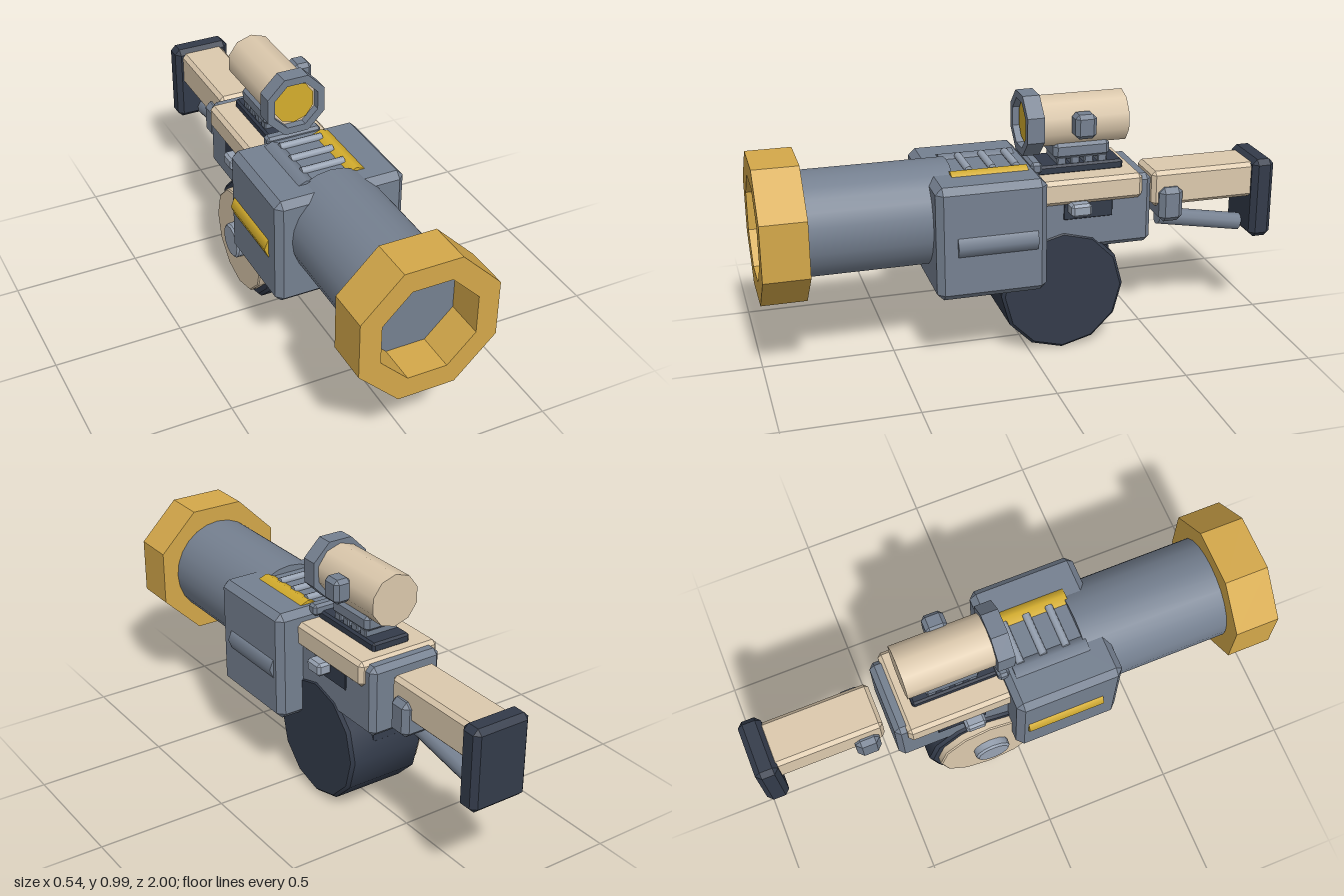
import * as THREE from 'three';
import { toCreasedNormals } from 'three/addons/utils/BufferGeometryUtils.js';
import { ConvexGeometry } from 'three/addons/geometries/ConvexGeometry.js';

const paint = (name, color) => new THREE.MeshStandardMaterial({ name, color });

export function createModel() {
  const slate = paint('slate', 0x758090);
  const dark = paint('charcoal', 0x333b4a);
  const tan = paint('tan', 0xdcc9ad);
  const brass = paint('brass', 0xd4a84a);
  const yellow = paint('yellow', 0xd4ad2d);
  const steel = paint('light steel', 0x98a3b3);

  const model = new THREE.Group();
  model.name = 'launcher';

  const add = (name, geometry, material) => {
    const mesh = new THREE.Mesh(geometry, material);
    mesh.name = name;
    model.add(mesh);
    return mesh;
  };

  // Box with chamfered edges, given by its extents on each axis
  const block = (name, material, [x0, x1], [y0, y1], [z0, z1], c = 0.015) => {
    const half = [(x1 - x0) / 2, (y1 - y0) / 2, (z1 - z0) / 2];
    const points = [];
    for (const sx of [-1, 1]) for (const sy of [-1, 1]) for (const sz of [-1, 1]) {
      for (let axis = 0; axis < 3; axis++) {
        const p = half.map((h, i) => (i === axis ? h : h - c));
        points.push(new THREE.Vector3(p[0] * sx, p[1] * sy, p[2] * sz));
      }
    }
    const mesh = add(name, new ConvexGeometry(points), material);
    mesh.position.set((x0 + x1) / 2, (y0 + y1) / 2, (z0 + z1) / 2);
    return mesh;
  };

  // Cylinder lying along z
  const rodZ = (name, material, r, x, y, z0, z1, sides) => {
    const g = new THREE.CylinderGeometry(r, r, z1 - z0, sides).rotateX(Math.PI / 2);
    const mesh = add(name, g, material);
    mesh.position.set(x, y, (z0 + z1) / 2);
    return mesh;
  };

  // Octagonal collar with flat top, along z
  const collar = (name, material, flat, holeFlat, y, z0, z1) => {
    const octagon = (f) => Array.from({ length: 8 }, (_, i) => {
      const a = (i + 0.5) * Math.PI / 4, r = f / Math.cos(Math.PI / 8);
      return new THREE.Vector2(r * Math.cos(a), r * Math.sin(a));
    });
    const shape = new THREE.Shape(octagon(flat));
    shape.holes.push(new THREE.Path(octagon(holeFlat).reverse()));
    const g = new THREE.ExtrudeGeometry(shape, { depth: z1 - z0, bevelEnabled: false });
    add(name, g, material).position.set(0, y, z0);
  };

  // Disc along x with chamfered rims
  const wheel = (name, material, r, x0, x1, y, z, c, sides) => {
    const h = (x1 - x0) / 2;
    const profile = [[0, -h], [r - c, -h], [r, -h + c], [r, h - c], [r - c, h], [0, h]]
      .map(([a, b]) => new THREE.Vector2(a, b));
    const g = new THREE.LatheGeometry(profile, sides).rotateZ(Math.PI / 2);
    add(name, toCreasedNormals(g, 0.7), material).position.set((x0 + x1) / 2, y, z);
  };

  // Barrel and muzzle
  rodZ('barrel', slate, 0.197, 0, 0.56, 0.28, 0.85, 24);
  collar('muzzle', brass, 0.26, 0.18, 0.56, 0.83, 1);

  // Front housing with bars let into its sides, top and bottom
  block('housing', slate, [-0.255, 0.255], [0.295, 0.73], [-0.04, 0.375], 0.025);
  for (const s of [-1, 1]) {
    const name = s > 0 ? 'left' : 'right';
    rodZ(name + 'SideBar', s > 0 ? slate : yellow, 0.05, s * 0.222, 0.503, 0, 0.3, 8);
    rodZ(name + 'TopBar', s > 0 ? yellow : slate, 0.05, s * 0.1, 0.693, 0, 0.29, 8);
    rodZ(name + 'BottomBar', s > 0 ? yellow : slate, 0.06, s * 0.1, 0.32, 0, 0.3, 8);
  }

  // Vent bars across the top
  for (const z of [0.035, 0.125, 0.215]) {
    const g = new THREE.CylinderGeometry(0.015, 0.015, 0.17, 8).rotateZ(Math.PI / 2);
    add('ventBar', g, steel).position.set(0, 0.735, z);
  }
  block('frontSightBase', slate, [-0.11, 0.11], [0.7, 0.745], [-0.06, -0.015], 0.01);

  // Receiver, tan cover, ports and bolt handles
  block('receiver', slate, [-0.15, 0.15], [0.4, 0.675], [-0.478, 0], 0.02);
  block('receiverCover', tan, [-0.17, 0.17], [0.59, 0.686], [-0.435, 0], 0.015);
  for (const s of [-1, 1]) {
    const span = (a, b) => (s > 0 ? [a, b] : [-b, -a]);
    block('ejectionPort', dark, span(0.147, 0.155), [0.527, 0.6], [-0.32, -0.13], 0.002);
    block('boltHandle', steel, span(0.14, 0.205), [0.55, 0.6], [-0.225, -0.145], 0.01);
  }

  // Drum magazine
  wheel('drum', dark, 0.24, -0.16, 0.155, 0.24, -0.13, 0.012, 12);
  wheel('drumCover', tan, 0.207, -0.19, -0.155, 0.24, -0.13, 0.005, 12);
  wheel('drumHub', steel, 0.07, -0.224, -0.18, 0.245, -0.13, 0.008, 12);
  block('magazineCatch', dark, [-0.06, 0.06], [0.28, 0.44], [-0.345, -0.25], 0.01).rotation.x = 0.15;

  // Scope rail and mount
  block('scopeRail', dark, [-0.08, 0.08], [0.68, 0.718], [-0.385, -0.04], 0.008);
  for (let i = 0; i < 4; i++) {
    const z = -0.305 + i * 0.053;
    block('railTooth', slate, [-0.07, 0.07], [0.71, 0.745], [z - 0.018, z + 0.018], 0.004);
  }
  block('scopeMount', slate, [-0.075, 0.075], [0.735, 0.8], [-0.335, -0.115], 0.015);

  // Scope
  rodZ('scopeTube', tan, 0.1, 0, 0.872, -0.4, -0.03, 10);
  rodZ('scopeLens', yellow, 0.083, 0, 0.872, -0.031, -0.022, 10);
  collar('scopeShroud', slate, 0.115, 0.087, 0.871, -0.065, 0);
  block('scopeKnob', slate, [0.08, 0.152], [0.832, 0.925], [-0.257, -0.175], 0.015);

  // Shoulder stock, bracket, strut and pad
  block('stock', tan, [-0.09, 0.09], [0.515, 0.655], [-0.93, -0.505], 0.015);
  block('stockBracket', slate, [-0.118, 0.118], [0.455, 0.592], [-0.625, -0.53], 0.02);
  const strut = rodZ('stockStrut', slate, 0.035, 0, 0.412, -0.91, -0.56, 10);
  strut.rotation.x = -0.18;
  block('buttPad', dark, [-0.117, 0.117], [0.35, 0.67], [-1, -0.912], 0.02);

  return model;
}
